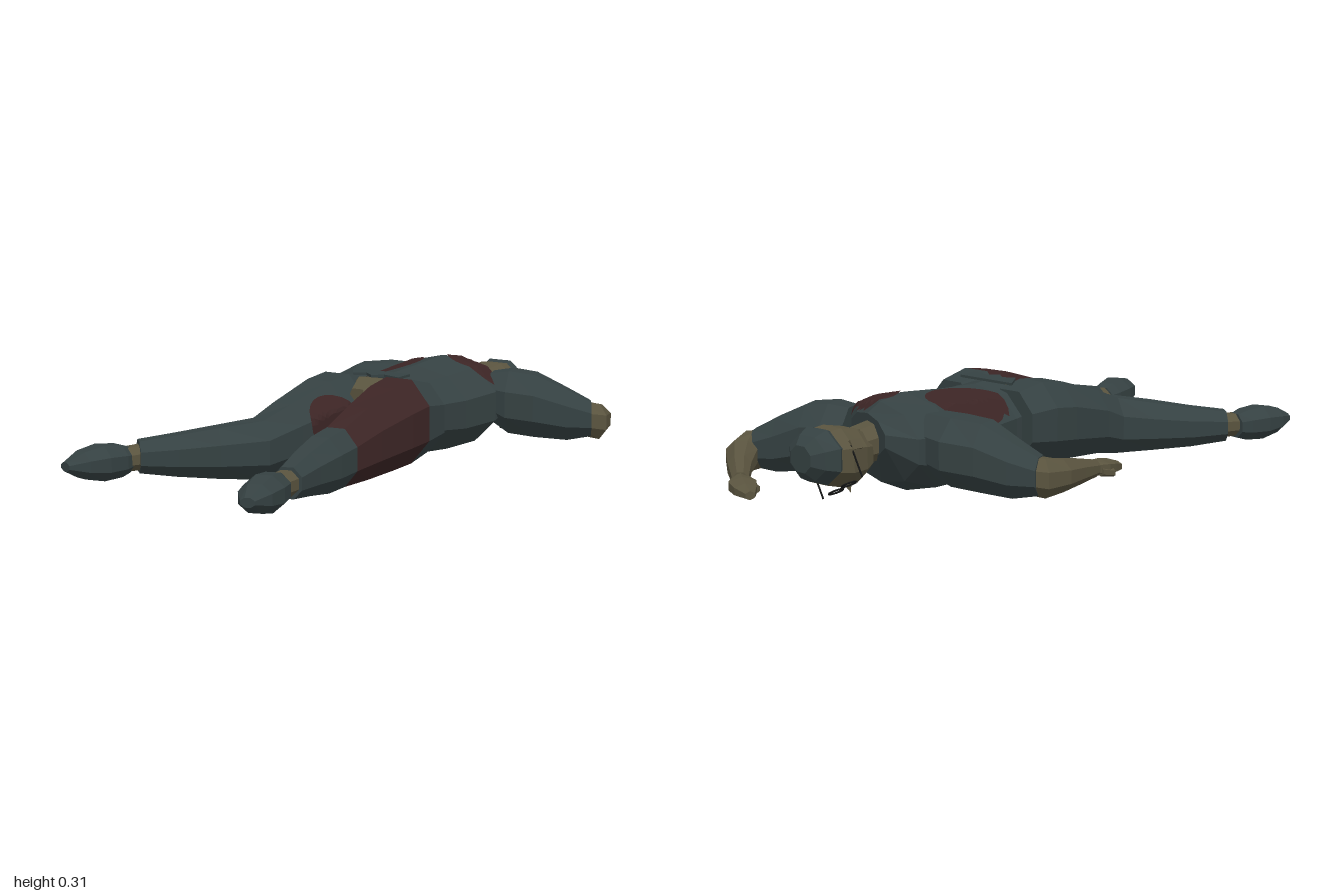
import * as THREE from 'three';

const mat = (name, color, side = THREE.FrontSide) => {
  const m = new THREE.MeshStandardMaterial({ color, flatShading: true, side });
  m.name = name;
  return m;
};

export function createModel() {
  const cloth = mat('slate cloth', 0x354142);
  const skin = mat('olive skin', 0x5a543f);
  const stain = mat('dark red stain', 0x3c2525, THREE.DoubleSide);
  const dark = mat('black wire', 0x151616);
  const group = new THREE.Group();

  const add = (name, geo, m) => {
    const mesh = new THREE.Mesh(geo, m);
    mesh.name = name;
    group.add(mesh);
    return mesh;
  };

  // Skin of rings [x, y, z, halfWidth, halfHeight] along a path; mats may list one material per segment
  function loft(name, rows, mats, n = 8) {
    const c = rows.map(r => new THREE.Vector3(r[0], r[1], r[2]));
    const rings = rows.map((r, i) => {
      const t = c[Math.min(i + 1, c.length - 1)].clone().sub(c[Math.max(i - 1, 0)]).setY(0).normalize();
      return Array.from({ length: n }, (_, j) => {
        const a = ((j + 0.5) / n) * Math.PI * 2;
        const w = Math.cos(a) * r[3] / Math.cos(Math.PI / n), h = Math.sin(a) * r[4] / Math.cos(Math.PI / n);
        return c[i].clone().add(new THREE.Vector3(t.z * w, h, -t.x * w));
      });
    });
    const pts = [], geo = new THREE.BufferGeometry();
    const list = Array.isArray(mats) ? [...new Set(mats)] : [mats];
    const last = rows.length - 1;
    for (let i = 0; i < last; i++) {
      const start = pts.length;
      for (let j = 0; j < n; j++) {
        const k = (j + 1) % n, [a, b, d, e] = [rings[i][j], rings[i][k], rings[i + 1][k], rings[i + 1][j]];
        pts.push(a, b, d, a, d, e);
        if (i === 0) pts.push(c[0], b, a);
        if (i === last - 1) pts.push(c[last], e, d);
      }
      geo.addGroup(start, pts.length - start, Array.isArray(mats) ? list.indexOf(mats[i]) : 0);
    }
    geo.setFromPoints(pts);
    geo.computeVertexNormals();
    return add(name, geo, list);
  }

  // Thin oval stain draped on a part by casting rays from an oval around `centre`
  function drape(name, target, centre, u, v, dir) {
    target.updateMatrixWorld(true);
    const ray = new THREE.Raycaster(), segs = 24, rings = 8, grid = [];
    for (let i = 0; i <= rings; i++) for (let j = 0; j < segs; j++) {
      const a = (j / segs) * Math.PI * 2, r = i / rings;
      const o = centre.clone().addScaledVector(u, Math.cos(a) * r).addScaledVector(v, Math.sin(a) * r);
      ray.set(o, dir);
      const hit = ray.intersectObject(target)[0];
      grid.push(hit ? hit.point.addScaledVector(hit.face.normal, 0.005) : null);
    }
    const pts = [];
    const tri = (...t) => { if (t.every(p => grid[p])) t.forEach(p => pts.push(grid[p])); };
    for (let i = 0; i < rings; i++) for (let j = 0; j < segs; j++) {
      const k = (j + 1) % segs, a = i * segs + j, b = i * segs + k;
      tri(a, b + segs, a + segs);
      if (i) tri(a, b, b + segs);
    }
    const geo = new THREE.BufferGeometry().setFromPoints(pts);
    geo.computeVertexNormals();
    add(name, geo, stain);
  }
  const V = (x, y, z) => new THREE.Vector3(x, y, z);

  // Shirt, lying chest down
  const shirt = loft('shirt', [
    [0.04, 0.2, -0.61, 0.14, 0.06], [0.025, 0.17, -0.57, 0.2, 0.12], [0.02, 0.158, -0.47, 0.215, 0.148],
    [0.03, 0.15, -0.3, 0.195, 0.143], [0.045, 0.158, -0.14, 0.172, 0.128], [0.05, 0.165, -0.06, 0.17, 0.128]], cloth, 10);
  drape('flankStain', shirt, V(-0.078, 1, -0.3), V(0.093, 0, 0.01), V(0, 0, 0.165), V(0, -1, 0));
  drape('shoulderStain', shirt, V(0.12, 1, -0.525), V(0.105, 0, 0), V(0, 0, 0.085), V(0, -1, 0));

  // Torn shirt tail over the seat
  const tail = new THREE.Shape([[-0.08, -0.1], [0.15, -0.1], [0.16, -0.02], [0.09, -0.04], [0.06, -0.01], [0.02, -0.04], [-0.02, -0.02]]
    .map(([x, z]) => new THREE.Vector2(x, -z)));
  const tailMesh = add('shirtTail', new THREE.ExtrudeGeometry(tail, { depth: 0.008, bevelEnabled: false }), cloth);
  tailMesh.rotation.x = -Math.PI / 2;
  tailMesh.position.y = 0.296;

  // Bare seat between the trouser legs
  loft('pelvis', [[0.05, 0.16, -0.12, 0.12, 0.12], [0.05, 0.165, -0.02, 0.11, 0.128], [0.05, 0.165, 0.05, 0.05, 0.1]], skin);

  // Trouser legs, ankles and shoes
  const rightLeg = loft('rightTrouserLeg', [
    [-0.07, 0.17, -0.1, 0.1, 0.11], [-0.07, 0.17, 0.0, 0.115, 0.13], [-0.068, 0.16, 0.1, 0.112, 0.128],
    [-0.075, 0.13, 0.28, 0.088, 0.105], [-0.085, 0.105, 0.385, 0.085, 0.093], [-0.17, 0.1, 0.48, 0.08, 0.08],
    [-0.26, 0.095, 0.575, 0.068, 0.065], [-0.335, 0.095, 0.665, 0.056, 0.05]], cloth);
  loft('leftTrouserLeg', [
    [0.18, 0.17, -0.11, 0.1, 0.11], [0.178, 0.17, 0.0, 0.117, 0.135], [0.188, 0.16, 0.1, 0.112, 0.13],
    [0.203, 0.135, 0.25, 0.09, 0.112], [0.21, 0.11, 0.37, 0.075, 0.09], [0.235, 0.105, 0.48, 0.072, 0.085],
    [0.262, 0.1, 0.6, 0.06, 0.065], [0.298, 0.095, 0.715, 0.045, 0.047]],
  [cloth, stain, stain, stain, cloth, cloth, cloth]);
  drape('innerThighStain', rightLeg, V(0.12, 0.17, 0.15), V(0, 0, 0.1), V(0, 0.08, 0), V(-1, 0, 0));
  loft('rightAnkle', [[-0.315, 0.095, 0.63, 0.04, 0.04], [-0.352, 0.092, 0.74, 0.036, 0.036]], skin);
  loft('leftAnkle', [[0.29, 0.095, 0.69, 0.04, 0.04], [0.305, 0.092, 0.8, 0.036, 0.036]], skin);
  const shoe = (name, x, z, dx, dz) => loft(name, [[0, 0.04, 0.04], [0.15, 0.055, 0.05], [0.45, 0.063, 0.055], [0.75, 0.052, 0.042], [1, 0.022, 0.014]]
    .map(([s, w, h]) => [x + dx * s, 0.09 + s * 0.004, z + dz * s, w, h]), cloth);
  shoe('rightShoe', -0.35, 0.7, -0.045, 0.225);
  shoe('leftShoe', 0.292, 0.755, 0.088, 0.24);

  // Short sleeves
  loft('rightSleeve', [[-0.12, 0.18, -0.48, 0.09, 0.09], [-0.22, 0.165, -0.475, 0.107, 0.105], [-0.31, 0.155, -0.445, 0.098, 0.105],
    [-0.4, 0.125, -0.415, 0.075, 0.085], [-0.47, 0.11, -0.382, 0.055, 0.058]], cloth);
  loft('leftSleeve', [[0.17, 0.18, -0.55, 0.08, 0.08], [0.23, 0.165, -0.575, 0.107, 0.105], [0.31, 0.155, -0.605, 0.1, 0.105],
    [0.4, 0.125, -0.66, 0.075, 0.085], [0.465, 0.11, -0.705, 0.055, 0.058]], cloth);

  // Bare forearms and hands with thumb and finger block
  loft('rightForearm', [[-0.42, 0.112, -0.41, 0.05, 0.055], [-0.475, 0.105, -0.378, 0.056, 0.06], [-0.472, 0.1, -0.31, 0.05, 0.05],
    [-0.445, 0.09, -0.2, 0.037, 0.04], [-0.423, 0.08, -0.09, 0.024, 0.026]], skin);
  loft('rightHand', [[-0.422, 0.08, -0.1, 0.025, 0.022], [-0.412, 0.077, -0.06, 0.044, 0.024], [-0.405, 0.07, -0.01, 0.036, 0.022], [-0.4, 0.062, 0.045, 0.018, 0.014]], skin, 6);
  loft('rightThumb', [[-0.44, 0.07, -0.08, 0.014, 0.014], [-0.448, 0.06, -0.03, 0.012, 0.012]], skin, 6);
  loft('leftForearm', [[0.42, 0.112, -0.68, 0.05, 0.055], [0.472, 0.1, -0.72, 0.056, 0.06], [0.445, 0.095, -0.775, 0.05, 0.05],
    [0.37, 0.08, -0.845, 0.037, 0.04], [0.275, 0.065, -0.92, 0.025, 0.026]], skin);
  loft('leftHand', [[0.285, 0.065, -0.912, 0.024, 0.022], [0.24, 0.06, -0.94, 0.043, 0.023], [0.195, 0.055, -0.966, 0.034, 0.02], [0.15, 0.05, -0.985, 0.015, 0.012]], skin, 6);
  loft('leftThumb', [[0.255, 0.055, -0.905, 0.014, 0.014], [0.205, 0.05, -0.915, 0.012, 0.012]], skin, 6);

  // Neck, head and cap
  loft('neck', [[0.02, 0.185, -0.57, 0.065, 0.06], [0.012, 0.175, -0.69, 0.055, 0.055]], skin);
  loft('head', [[0.008, 0.155, -0.665, 0.055, 0.06], [0.01, 0.155, -0.71, 0.08, 0.082], [0.01, 0.16, -0.78, 0.098, 0.09], [0.01, 0.165, -0.84, 0.092, 0.08]], skin);
  loft('cap', [[0.01, 0.17, -0.805, 0.08, 0.07], [0.01, 0.17, -0.84, 0.102, 0.084], [0.008, 0.17, -0.88, 0.078, 0.066], [0.008, 0.17, -0.908, 0.045, 0.04]], cloth);

  // Nose, ears and wire glasses, with the face turned down and slightly aside
  const face = new THREE.Group();
  face.name = 'face';
  face.position.set(0.01, 0.158, -0.765);
  face.rotation.z = -0.5;
  group.add(face);
  const part = (name, geo, m, x, y, z) => {
    const mesh = new THREE.Mesh(geo, m);
    mesh.name = name;
    mesh.position.set(x, y, z);
    face.add(mesh);
    return mesh;
  };
  part('nose', new THREE.ConeGeometry(0.02, 0.05, 5), skin, 0, -0.095, 0.005).rotation.x = Math.PI;
  for (const s of [-1, 1]) {
    part('ear', new THREE.BoxGeometry(0.014, 0.03, 0.04), skin, s * 0.098, 0, 0);
    part('glassesRim', new THREE.TorusGeometry(0.024, 0.003, 4, 10), dark, s * 0.033, -0.1, -0.02).rotation.x = Math.PI / 2;
    part('glassesTemple', new THREE.BoxGeometry(0.004, 0.1, 0.004), dark, s * 0.1, -0.05, -0.02);
  }
  return group;
}
